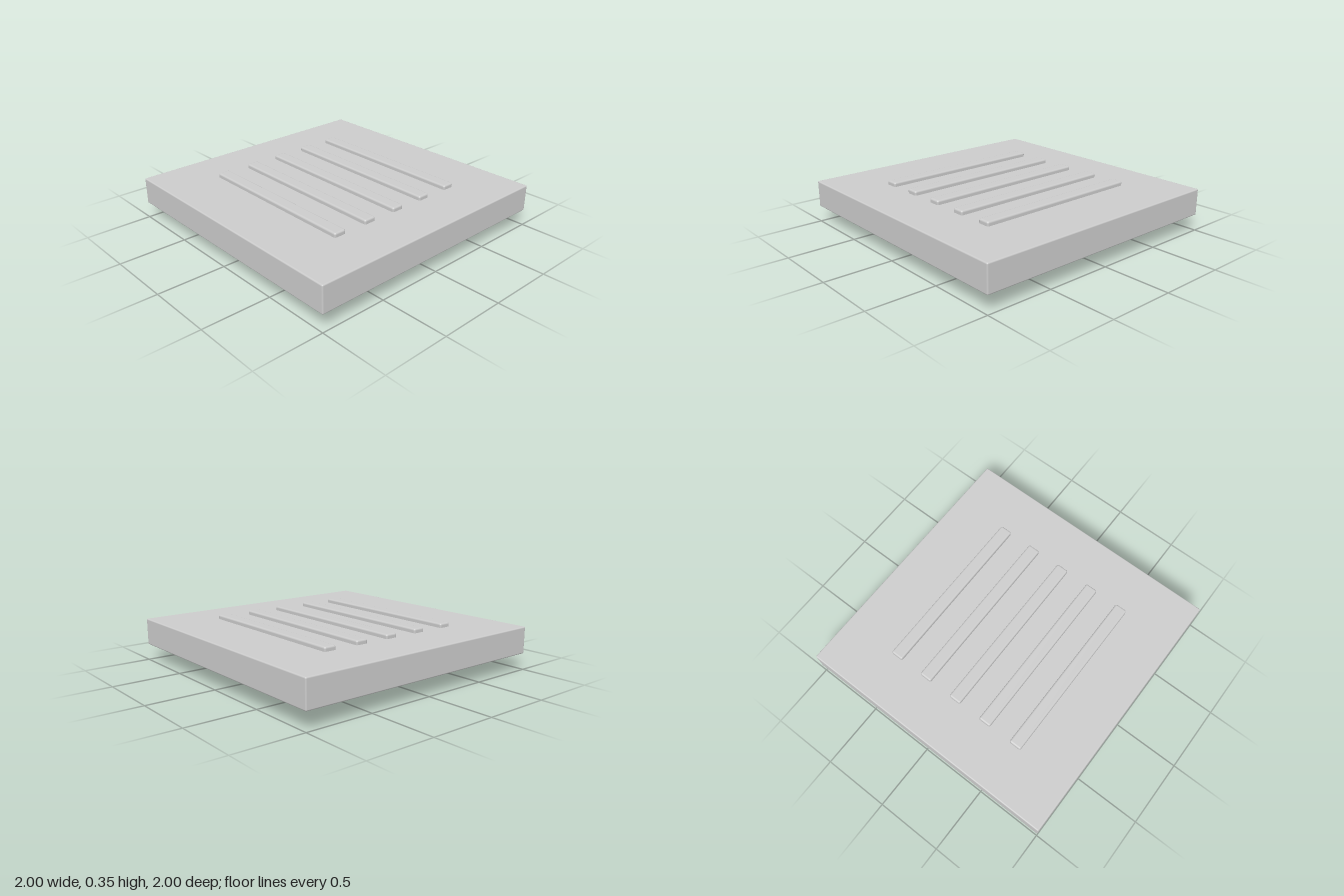
import * as THREE from 'three';
import { RoundedBoxGeometry } from 'three/addons/geometries/RoundedBoxGeometry.js';

const material = new THREE.MeshStandardMaterial({ color: 0xcccccc });

// Box with softened edges, placed by its bottom height
function slab(name, width, depth, bottom, top, radius, z = 0) {
  const height = top - bottom;
  const mesh = new THREE.Mesh(new RoundedBoxGeometry(width, height, depth, 2, radius), material);
  mesh.name = name;
  mesh.position.set(0, bottom + height / 2, z);
  return mesh;
}

export function createModel() {
  const group = new THREE.Group();
  group.name = 'ribbedPlate';

  // Narrower foot under the wide plate
  group.add(slab('base', 1.406, 1.406, 0, 0.128, 0.008));
  group.add(slab('plate', 2, 2, 0.121, 0.322, 0.01));

  // Five parallel ribs set into the top face
  for (let i = -2; i <= 2; i++) {
    group.add(slab('rib' + (i + 3), 1.29, 0.094, 0.306, 0.354, 0.014, i * 0.266));
  }
  return group;
}
